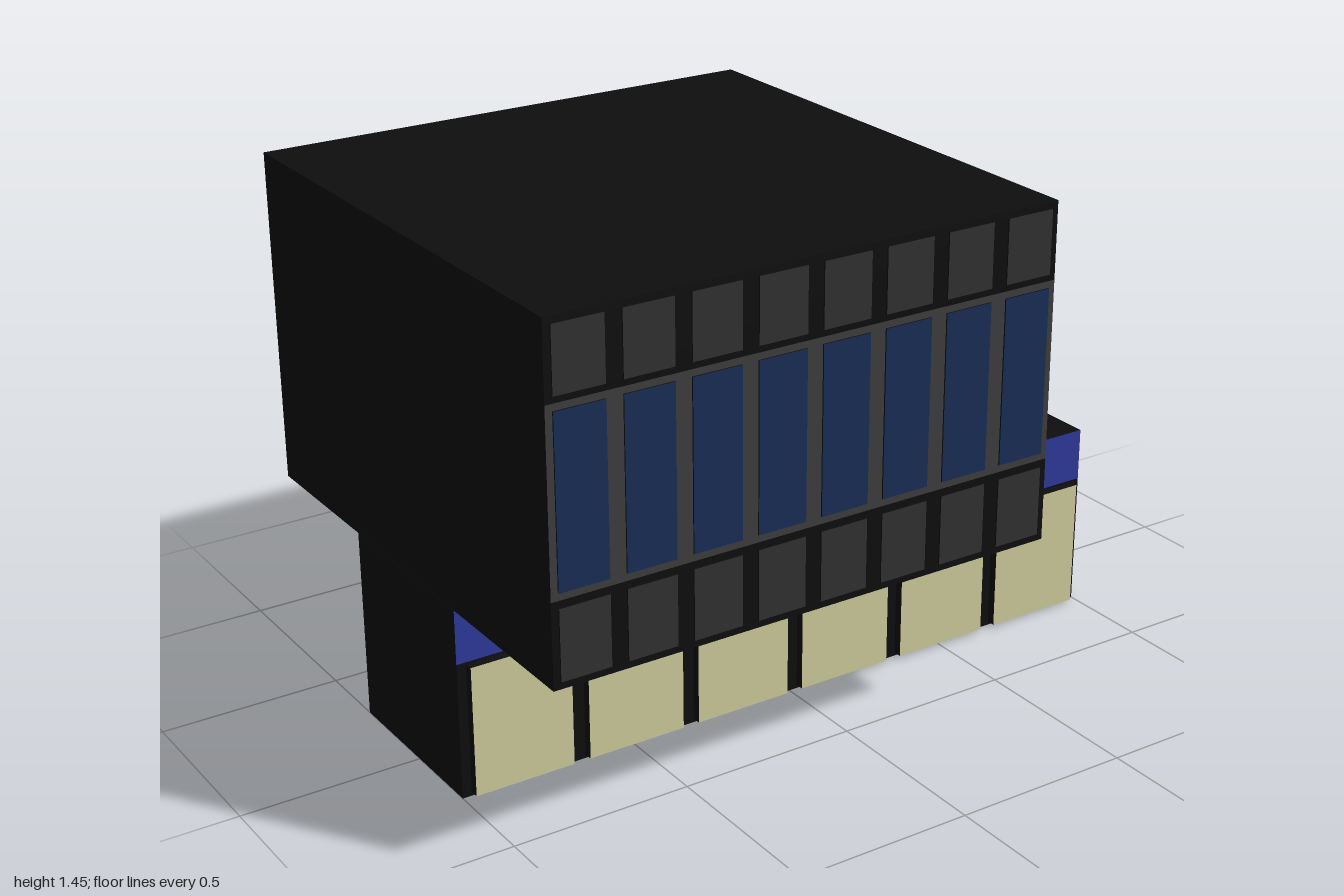
import * as THREE from 'three';

const mat = (color) => new THREE.MeshStandardMaterial({ color });
const black = mat(0x0e0e0e);
const endGrey = mat(0x535353);
const frameGrey = mat(0x3e3e3e);
const darkPanel = mat(0x313131);
const glassBlue = mat(0x192d57);
const fasciaBlue = mat(0x2e3a9b);
const cream = mat(0xd0cd9c);

// Black block with optional coloured faces on its front (+z) and left (+x) sides
function block(name, w, h, d, x, y, z, front = black, side = black) {
  const mesh = new THREE.Mesh(
    new THREE.BoxGeometry(w, h, d),
    [side, black, black, black, front, black]
  );
  mesh.name = name;
  mesh.position.set(x, y, z);
  return mesh;
}

// Row of equal panels centred on x = 0, standing proud of the plane z = 0
function panelRow(name, count, pitch, w, y0, y1, depth, material) {
  const row = new THREE.Group();
  row.name = name;
  for (let i = 0; i < count; i++) {
    const x = (i - (count - 1) / 2) * pitch;
    row.add(block(name + 'Panel', w, y1 - y0, depth, x, (y0 + y1) / 2, depth / 2, material));
  }
  return row;
}

// Window wall of the upper storeys: one glazed band between two dark bands
function windowWall(name, w) {
  const wall = new THREE.Group();
  wall.name = name;
  wall.add(
    panelRow('lowerWindows', 8, 0.182, w, 0.55, 0.738, 0.004, darkPanel),
    panelRow('mainWindows', 8, 0.182, w, 0.777, 1.222, 0.004, glassBlue),
    panelRow('upperWindows', 8, 0.182, w, 1.258, 1.428, 0.004, darkPanel)
  );
  return wall;
}

export function createModel() {
  const model = new THREE.Group();
  model.name = 'building';

  // Long ground floor with a blue fascia above the shop fronts
  const base = new THREE.Group();
  base.name = 'groundFloor';
  base.add(block('baseLower', 2, 0.38, 0.525, 0, 0.19, -0.0275, black, endGrey));
  base.add(block('fascia', 2, 0.15, 0.525, 0, 0.455, -0.0275, fasciaBlue, endGrey));
  const shops = panelRow('shopFront', 6, 0.3325, 0.285, 0.01, 0.375, 0.025, cream);
  shops.position.z = 0.235;
  base.add(shops);
  model.add(base);

  // Overhanging upper block in three stacked bands
  const upper = new THREE.Group();
  upper.name = 'upperBlock';
  const cx = -0.275;
  const size = 1.444;
  const bands = [
    ['lowerBand', 0.53, 0.757, black],
    ['windowBand', 0.757, 1.24, frameGrey],
    ['roofBand', 1.24, 1.446, black],
  ];
  for (const [name, y0, y1, m] of bands) {
    upper.add(block(name, size + 0.004, y1 - y0, size, cx, (y0 + y1) / 2, -0.002, m, m));
  }

  // Window walls on the front and left faces
  const front = windowWall('frontWindows', 0.136);
  front.position.set(cx, 0, 0.72);
  const left = windowWall('leftWindows', 0.151);
  left.rotation.y = Math.PI / 2;
  left.position.set(cx + size / 2 + 0.002, 0, 0);
  upper.add(front, left);
  model.add(upper);

  return model;
}
